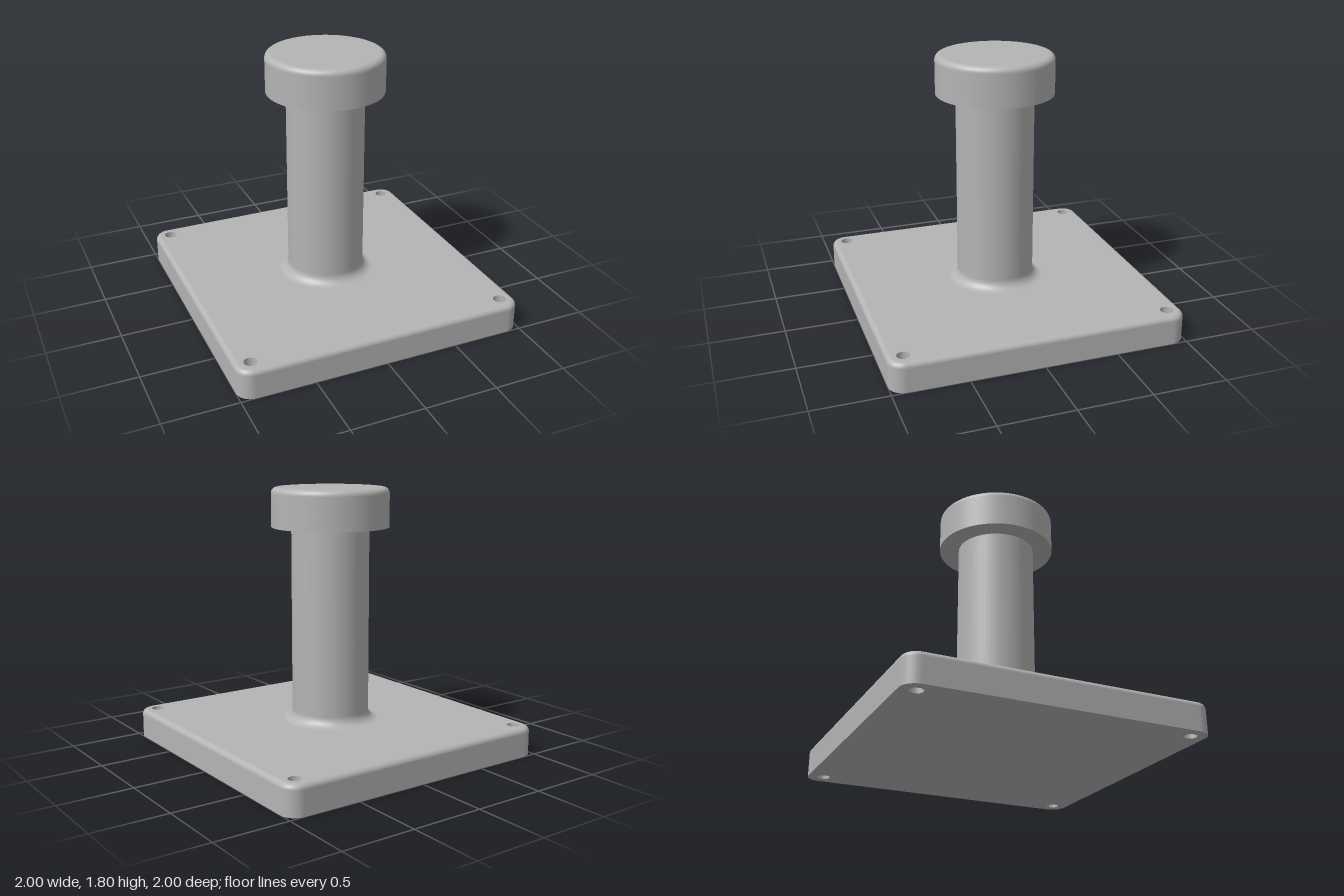
import * as THREE from 'three';

const HALF = 1, CORNER = 0.1, PLATE_H = 0.2, EDGE = 0.035;
const HOLE_AT = 0.895, HOLE_R = 0.043;
const POST_R = 0.265, FILLET = 0.067, CAP_R = 0.4, CAP_Y = 1.535, TOP = 1.803, CAP_EDGE = 0.04;

// Points along a circular arc, for lathe profiles
function arc(cx, cy, r, from, to, n = 10) {
  return Array.from({ length: n + 1 }, (_, i) => {
    const a = from + (to - from) * i / n;
    return new THREE.Vector2(cx + r * Math.cos(a), cy + r * Math.sin(a));
  });
}

// Rounded-square outline: position and outward direction of each point
function outline(inset) {
  const c = HALF - CORNER, r = CORNER - inset, n = 12, pts = [];
  for (let k = 0; k < 4; k++) {
    const mid = Math.PI / 4 + k * Math.PI / 2;
    for (let i = 0; i <= n; i++) {
      const a = (k + i / n) * Math.PI / 2, nx = Math.cos(a), nz = Math.sin(a);
      pts.push({ x: c * Math.sign(Math.cos(mid)) + r * nx, z: c * Math.sign(Math.sin(mid)) + r * nz, nx, nz });
    }
  }
  return pts;
}

// Plate walls with a rounded upper edge
function plateSides() {
  const rows = [[0, 0, 0]];
  for (let i = 0; i <= 8; i++) {
    const a = i / 8 * Math.PI / 2;
    rows.push([EDGE * (1 - Math.cos(a)), PLATE_H - EDGE + EDGE * Math.sin(a), a]);
  }
  const pos = [], nor = [], idx = [], count = outline(0).length;
  rows.forEach(([inset, y, a], j) => outline(inset).forEach((p, i) => {
    pos.push(p.x, y, p.z);
    nor.push(p.nx * Math.cos(a), Math.sin(a), p.nz * Math.cos(a));
    if (j === rows.length - 1) return;
    const i2 = (i + 1) % count, b = j * count, t = b + count;
    idx.push(b + i, t + i, b + i2, b + i2, t + i, t + i2);
  }));
  const g = new THREE.BufferGeometry();
  g.setAttribute('position', new THREE.Float32BufferAttribute(pos, 3));
  g.setAttribute('normal', new THREE.Float32BufferAttribute(nor, 3));
  g.setIndex(idx);
  return g;
}

// Flat plate face with the four screw holes
function plateFace(inset) {
  const shape = new THREE.Shape(outline(inset).map(p => new THREE.Vector2(p.x, p.z)));
  for (const x of [-HOLE_AT, HOLE_AT]) for (const y of [-HOLE_AT, HOLE_AT]) {
    shape.holes.push(new THREE.Path().absarc(x, y, HOLE_R, 0, Math.PI * 2, true));
  }
  return new THREE.ShapeGeometry(shape, 16);
}

export function createModel() {
  const model = new THREE.Group();
  const grey = new THREE.MeshStandardMaterial({ color: 0xb4b4b4 });
  grey.name = 'grey';
  const holeGrey = new THREE.MeshStandardMaterial({ color: 0xb4b4b4, side: THREE.BackSide });
  holeGrey.name = 'grey hole lining';
  const add = (parent, name, geo, mat = grey) => {
    const m = new THREE.Mesh(geo, mat);
    m.name = name;
    parent.add(m);
    return m;
  };

  // Base plate
  const plate = new THREE.Group();
  plate.name = 'basePlate';
  model.add(plate);
  add(plate, 'plateSides', plateSides());
  add(plate, 'plateTop', plateFace(EDGE).rotateX(-Math.PI / 2).translate(0, PLATE_H, 0));
  add(plate, 'plateBottom', plateFace(0).rotateX(Math.PI / 2));
  for (const x of [-HOLE_AT, HOLE_AT]) for (const z of [-HOLE_AT, HOLE_AT]) {
    const hole = new THREE.CylinderGeometry(HOLE_R, HOLE_R, PLATE_H, 32, 1, true);
    add(plate, 'screwHole', hole, holeGrey).position.set(x, PLATE_H / 2, z);
  }

  // Post with a flared foot
  add(model, 'post', new THREE.LatheGeometry([
    ...arc(POST_R + FILLET, PLATE_H + FILLET, FILLET, Math.PI * 1.5, Math.PI),
    new THREE.Vector2(POST_R, PLATE_H + FILLET),
    new THREE.Vector2(POST_R, CAP_Y),
  ], 64));

  // Cap; repeated points keep its lower rim sharp
  const rim = new THREE.Vector2(CAP_R, CAP_Y);
  const round = arc(CAP_R - CAP_EDGE, TOP - CAP_EDGE, CAP_EDGE, 0, Math.PI / 2);
  add(model, 'cap', new THREE.LatheGeometry([
    new THREE.Vector2(POST_R, CAP_Y), rim, rim.clone(),
    round[0].clone(), ...round,
    round[round.length - 1].clone(), new THREE.Vector2(0, TOP),
  ], 64));

  return model;
}
